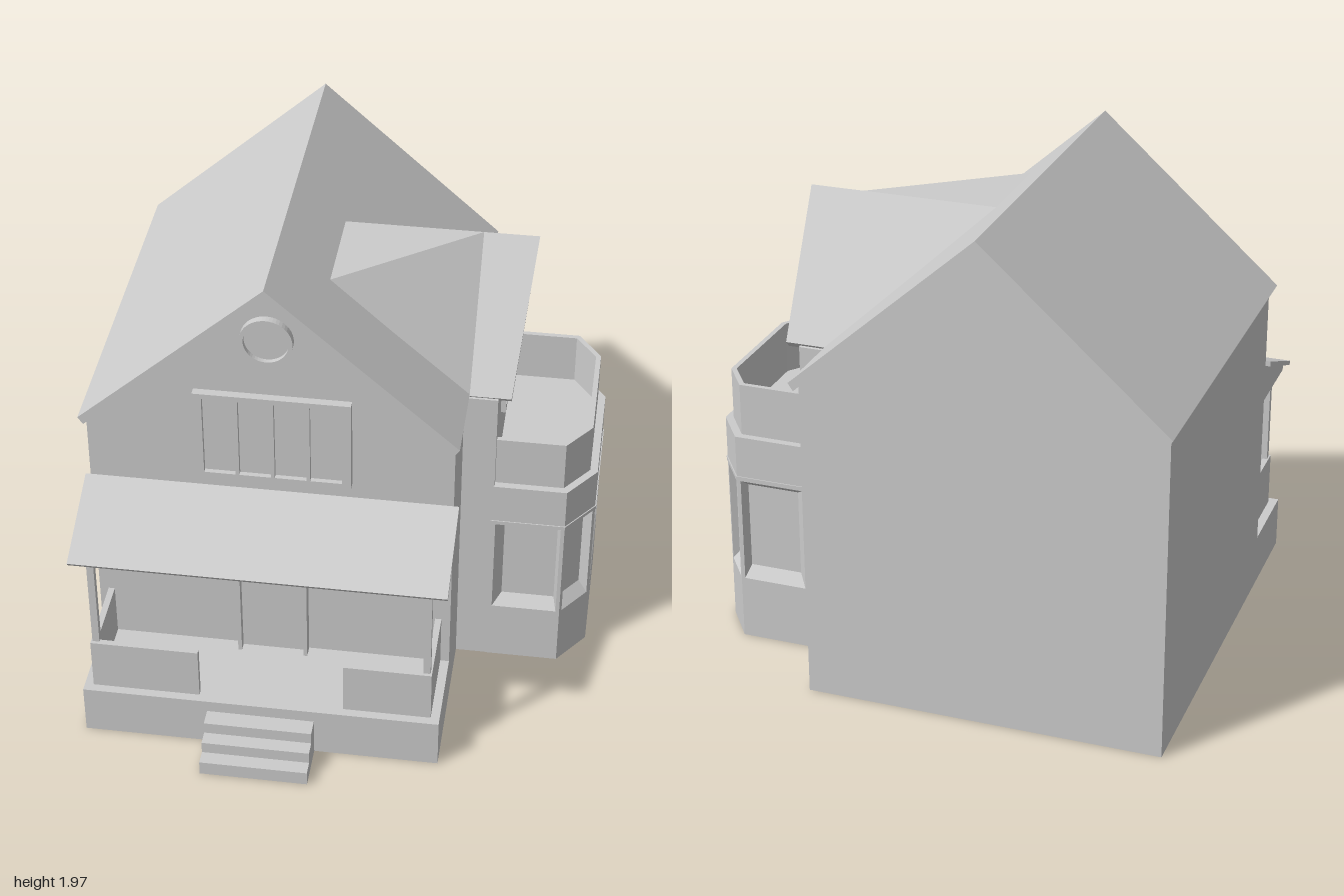
import * as THREE from 'three';

const grey = new THREE.MeshStandardMaterial({ color: 0xcccccc, flatShading: true });
const greyThin = new THREE.MeshStandardMaterial({ color: 0xcccccc, flatShading: true, side: THREE.DoubleSide });

const CX = -0.255; // centre line of the main house
const WZ = -0.25;  // centre line of the side wing

const toShape = (pts) => new THREE.Shape(pts.map(([a, b]) => new THREE.Vector2(a, b)));
const extrude = (shape, depth) =>
  new THREE.ExtrudeGeometry(shape, { depth, bevelEnabled: false, curveSegments: 24 });

// Profile in (x, y) running from z0 to z1
const extrudeZ = (pts, z0, z1) => extrude(toShape(pts), z1 - z0).translate(0, 0, z0);
// Profile in (z, y) running from x0 to x1
const extrudeX = (pts, x0, x1) =>
  extrude(toShape(pts), x1 - x0).rotateY(-Math.PI / 2).translate(x1, 0, 0);
// Plan in (x, z) running from y0 to y1
const extrudeY = (pts, y0, y1) =>
  extrude(toShape(pts.map(([x, z]) => [x, -z])), y1 - y0).rotateX(-Math.PI / 2).translate(0, y0, 0);

const box = (x0, x1, y0, y1, z0, z1) =>
  new THREE.BoxGeometry(x1 - x0, y1 - y0, z1 - z0)
    .translate((x0 + x1) / 2, (y0 + y1) / 2, (z0 + z1) / 2);

function triangles(corners) {
  const geo = new THREE.BufferGeometry();
  geo.setAttribute('position', new THREE.Float32BufferAttribute(corners.flat(), 3));
  geo.computeVertexNormals();
  return geo;
}

// Outline of the bay, moved inward by d, from the back wall corner round to the front one
function bayOutline(d, x0 = 0.57) {
  const half = [[x0, 0.4 - d], [0.865 - 0.507 * d, 0.4 - d], [0.975 - d, 0.25 - 0.328 * d]];
  return [
    ...half.map(([x, z]) => [x, WZ + z]),
    ...half.map(([x, z]) => [x, WZ - z]).reverse(),
  ];
}

// Framed window facing +z, its back on z = 0
function windowFrame(w, h, panes, mx, my, depth, bar) {
  const x = w / 2, y = h / 2;
  const frame = toShape([[-x, -y], [x, -y], [x, y], [-x, y]]);
  const pw = (w - 2 * mx - bar * (panes - 1)) / panes;
  for (let i = 0; i < panes; i++) {
    const a = -x + mx + i * (pw + bar);
    frame.holes.push(new THREE.Path([[a, -y + my], [a, y - my], [a + pw, y - my], [a + pw, -y + my]]
      .map(([u, v]) => new THREE.Vector2(u, v))));
  }
  const group = new THREE.Group();
  const frameMesh = new THREE.Mesh(extrude(frame, depth), grey);
  frameMesh.name = 'windowFrame';
  const glass = new THREE.Mesh(box(-x + mx, x - mx, -y + my, y - my, 0, depth * 0.4), grey);
  glass.name = 'windowGlass';
  group.add(frameMesh, glass);
  return group;
}

export function createModel() {
  const model = new THREE.Group();
  model.name = 'house';
  const add = (name, geo, mat = grey) => {
    const mesh = new THREE.Mesh(geo, mat);
    mesh.name = name;
    model.add(mesh);
    return mesh;
  };

  // Main house with gable ends
  add('houseBody', extrudeZ([[-0.96, 0], [0.45, 0], [0.45, 1.29], [CX, 1.92], [-0.96, 1.29]], -0.95, 0.45));
  add('mainRoof', extrudeZ(
    [[-0.98, 1.32], [-0.96, 1.29], [CX, 1.92], [0.45, 1.29], [0.47, 1.32], [CX, 1.965]], -1, 0.5));

  // Upper front window and round gable window
  const upper = windowFrame(0.6, 0.39, 4, 0.035, 0.022, 0.033, 0.015);
  upper.name = 'upperWindow';
  upper.position.set(-0.24, 1.27, 0.45);
  model.add(upper);
  const ring = new THREE.Shape().absarc(0, 0, 0.1, 0, Math.PI * 2);
  ring.holes.push(new THREE.Path().absarc(0, 0, 0.085, 0, Math.PI * 2, true));
  add('roundWindowFrame', extrude(ring, 0.03).translate(CX, 1.72, 0.45));
  add('roundWindowGlass', new THREE.CylinderGeometry(0.087, 0.087, 0.01, 48)
    .rotateX(Math.PI / 2).translate(CX, 1.72, 0.455));

  // Front door
  add('doorFrame', extrudeZ([[-0.395, 0.21], [-0.38, 0.21], [-0.38, 0.67], [-0.13, 0.67], [-0.13, 0.21],
    [-0.115, 0.21], [-0.115, 0.69], [-0.395, 0.69]], 0.45, 0.5));
  add('door', box(-0.38, -0.13, 0.21, 0.67, 0.45, 0.465));

  // Porch: floor, steps, railings, posts and lean-to roof
  add('porchFloor', box(-0.96, 0.45, 0, 0.21, 0.45, 0.815));
  for (let i = 0; i < 3; i++) {
    add('step', box(-0.465, -0.04, 0, 0.16 - i * 0.05, 0.815, 0.885 + i * 0.0575));
  }
  add('railingLeft', extrudeY([[0.07, 0.78], [0.415, 0.78], [0.415, 0.45], [0.39, 0.45],
    [0.39, 0.755], [0.07, 0.755]], 0.21, 0.43));
  add('railingRight', extrudeY([[-0.5, 0.78], [-0.925, 0.78], [-0.925, 0.45], [-0.9, 0.45],
    [-0.9, 0.755], [-0.5, 0.755]], 0.21, 0.43));
  for (const x of [CX - 0.65, CX + 0.65]) {
    add('porchPost', box(x - 0.014, x + 0.014, 0.21, 0.85, 0.739, 0.767));
  }
  add('porchCeiling', extrudeX([[0.45, 0.835], [0.77, 0.835], [0.77, 0.86], [0.45, 0.99]], -0.96, 0.45));
  add('porchRoof', extrudeX([[0.45, 0.988], [0.805, 0.845], [0.815, 0.86], [0.45, 1.01]], -0.98, 0.47));

  // Side wing with its gable wall
  add('wingBody', extrudeX([[0.148, 0], [0.148, 1.3], [WZ, 1.76], [-0.648, 1.3], [-0.648, 0]], 0.44, 0.58));

  // Wing roof in two layers, the front edge leaning out towards the ridge
  const wingRoof = (name, outer, inner, front) => {
    const side = (s) => [[WZ + s * outer[0], outer[1]], [WZ + s * inner[0], inner[1]]];
    const [ro, ri] = side(1), [lo, li] = side(-1);
    const geo = extrudeX([ro, [WZ, outer[2]], lo, li, [WZ, inner[2]], ri], 0.47, front);
    const p = geo.attributes.position;
    for (let i = 0; i < p.count; i++) {
      if (p.getX(i) > 0.5) p.setX(i, front + Math.max(0, p.getY(i) - 1.31) * 0.112);
    }
    geo.computeVertexNormals();
    add(name, geo);
  };
  wingRoof('wingRoof', [0.403, 1.315, 1.8], [0.38, 1.29, 1.75], 0.63);
  wingRoof('wingBargeboard', [0.38, 1.29, 1.75], [0.34, 1.278, 1.69], 0.605);

  // Wing roof where it meets the main roof
  const back = [-0.065, 1.8, WZ], ridge = [0.47, 1.8, WZ], corner = [-0.065, 1.8, 0.153];
  add('wingRoofJoin', triangles([
    back, corner, ridge,
    corner, [0.47, 1.315, 0.153], ridge,
    back, ridge, [0.47, 1.315, -0.653],
  ]), greyThin);

  const gableWindow = windowFrame(0.46, 0.3, 4, 0.02, 0.02, 0.02, 0.013);
  gableWindow.name = 'gableWindow';
  gableWindow.rotation.y = Math.PI / 2;
  gableWindow.position.set(0.58, 1.27, WZ);
  model.add(gableWindow);

  // Bay: base, header, trim, and a recessed window band with sloping sill and head
  add('bayBase', extrudeY(bayOutline(0), 0, 0.26));
  add('bayHeader', extrudeY(bayOutline(0), 0.69, 0.88));
  add('bayTrim', extrudeY(bayOutline(-0.004), 0.695, 0.71));
  const rings = [[0.26, 0], [0.305, 0.04], [0.66, 0.04], [0.69, 0]]
    .map(([y, d]) => bayOutline(d).map(([x, z]) => [x, y, z]));
  const faces = [];
  for (let r = 0; r < rings.length - 1; r++) {
    for (let i = 0; i < 5; i++) {
      const a = rings[r][i], b = rings[r][i + 1], c = rings[r + 1][i + 1], d = rings[r + 1][i];
      faces.push(a, b, c, a, c, d);
    }
  }
  add('bayWindows', triangles(faces), greyThin);

  // Bay corner posts fill the band between the outer and recessed outlines
  const outer = bayOutline(0, 0.595), inner = bayOutline(0.04, 0.595);
  const toward = (a, b, t) => {
    const len = Math.hypot(b[0] - a[0], b[1] - a[1]);
    return [a[0] + (b[0] - a[0]) * t / len, a[1] + (b[1] - a[1]) * t / len];
  };
  for (let i = 1; i < 5; i++) {
    add('bayPost', extrudeY([toward(outer[i], outer[i - 1], 0.015), outer[i],
      toward(outer[i], outer[i + 1], 0.015), toward(inner[i], inner[i + 1], 0.008),
      inner[i], toward(inner[i], inner[i - 1], 0.008)], 0.26, 0.69));
  }
  for (const s of [1, -1]) {
    const z = [WZ + s * 0.4, WZ + s * 0.36];
    add('bayEndPost', extrudeY([[0.57, z[0]], [0.59, z[0]], [0.625, z[1]], [0.57, z[1]]], 0.26, 0.69));
  }
  add('bayMullion', box(0.93, 0.945, 0.28, 0.68, WZ - 0.008, WZ + 0.008));

  // Balcony parapet on top of the bay
  add('balconyParapet', extrudeY([...bayOutline(0.03), ...bayOutline(0.05).reverse()], 0.88, 1.09));

  return model;
}
